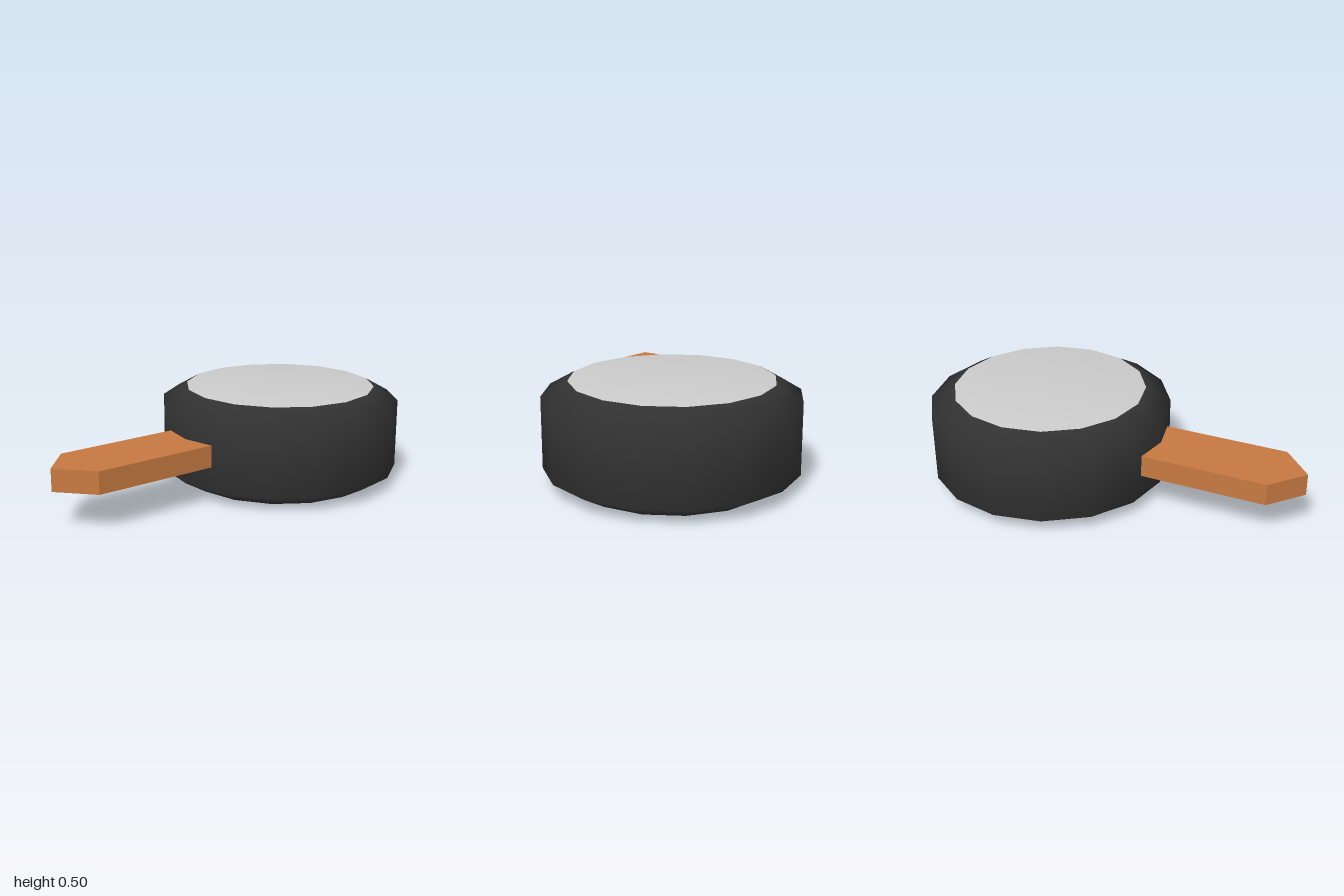
import * as THREE from 'three';

export function createModel() {
  const group = new THREE.Group();
  const mat = (name, color) => {
    const m = new THREE.MeshStandardMaterial({ color });
    m.name = name;
    return m;
  };
  const charcoal = mat('charcoal', 0x333333);
  const paleGrey = mat('paleGrey', 0xcccccc);
  const orange = mat('orangeBrown', 0xc87941);

  // Drum: 16-sided chamfered disc, smooth across its edges, with pale end faces
  const SIDES = 16;
  const profile = [[0, 0], [0.495, 0], [0.622, 0.072], [0.622, 0.424], [0.495, 0.496], [0, 0.496]]
    .map(([r, y]) => new THREE.Vector2(r, y));
  const drumGeo = new THREE.LatheGeometry(profile, SIDES);
  const bands = profile.length - 1;
  for (let i = 0; i < SIDES; i++) {
    const start = i * bands * 6;
    drumGeo.addGroup(start, 6, 1); // bottom face
    drumGeo.addGroup(start + 6, 18, 0); // chamfers and wall
    drumGeo.addGroup(start + 24, 6, 1); // top face
  }
  const drum = new THREE.Mesh(drumGeo, [charcoal, paleGrey]);
  drum.name = 'drum';
  drum.position.x = 0.378;
  group.add(drum);

  // Handle: flat bar with a pointed end, its root sunk into the drum
  const outline = new THREE.Shape([[-1, 0], [-0.85, -0.17], [-0.15, -0.17], [-0.15, 0.17], [-0.85, 0.17]]
    .map(([x, z]) => new THREE.Vector2(x, z)));
  const handleGeo = new THREE.ExtrudeGeometry(outline, { depth: 0.112, bevelEnabled: false });
  handleGeo.rotateX(-Math.PI / 2);
  const handle = new THREE.Mesh(handleGeo, orange);
  handle.name = 'handle';
  handle.position.y = 0.194;
  group.add(handle);

  return group;
}
